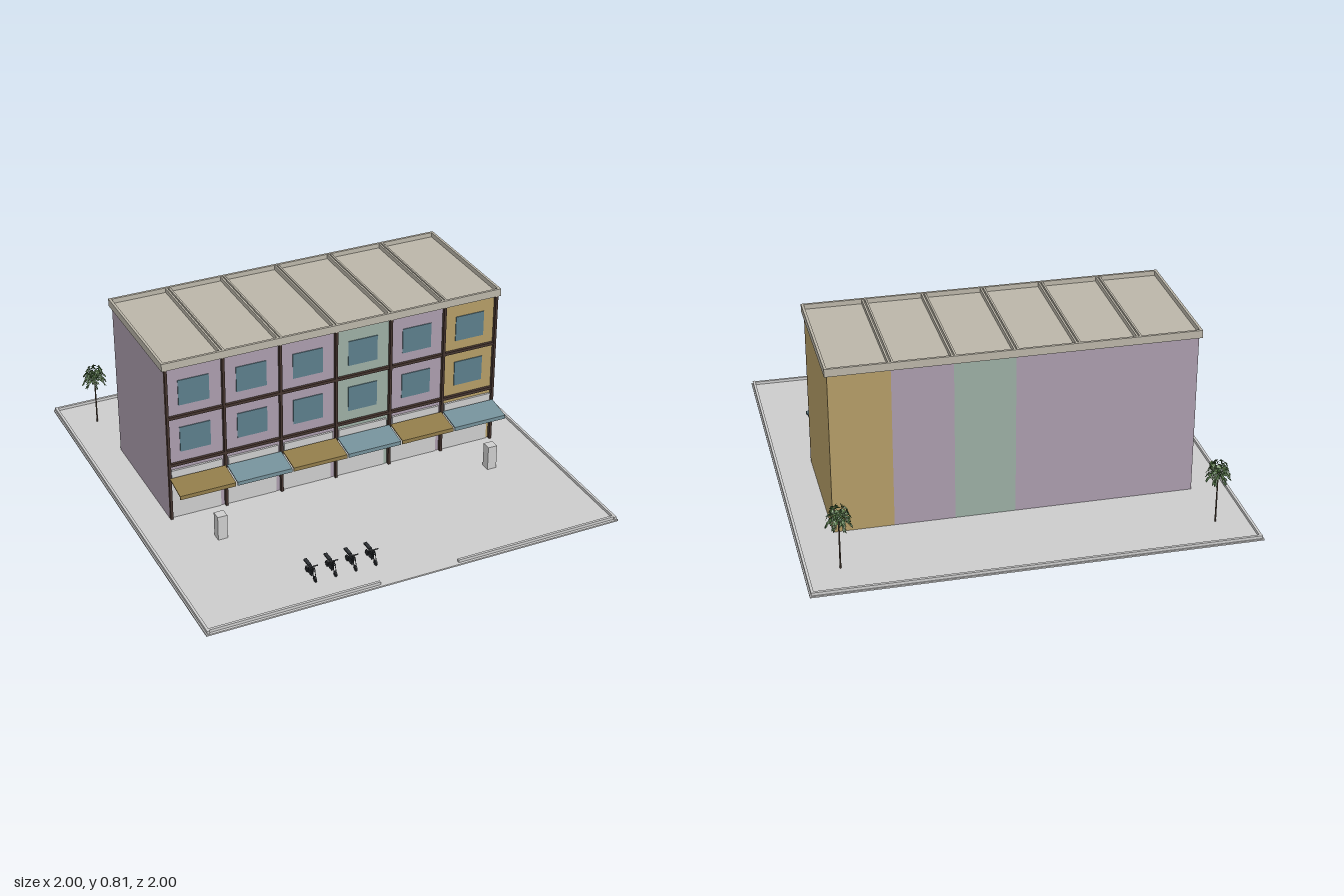
import * as THREE from 'three';
import { mergeGeometries } from 'three/addons/utils/BufferGeometryUtils.js';

const COLORS = {
  grey: 0xcccccc, gold: 0xb39c66, purple: 0xaa9cac, green: 0x9bada3, glass: 0x5b7d8a, teal: 0x738f98,
  ochre: 0x8f7a48, brown: 0x43332d, roof: 0xbab5a8, dark: 0x2c2f33, leaf: 0x3d5c33, leafLight: 0x587a45, bark: 0x54463a,
};
const materials = {};
function mat(name) {
  if (!materials[name]) {
    materials[name] = new THREE.MeshStandardMaterial({ color: COLORS[name] });
    if (name.startsWith('leaf')) materials[name].side = THREE.DoubleSide;
  }
  return materials[name];
}

function add(parent, name, geometry, color) {
  const mesh = new THREE.Mesh(geometry, mat(color));
  mesh.name = name;
  parent.add(mesh);
  return mesh;
}

// Box given by its low and high limits on each axis
function box(parent, name, color, x0, x1, y0, y1, z0, z1) {
  const mesh = add(parent, name, new THREE.BoxGeometry(x1 - x0, y1 - y0, z1 - z0), color);
  mesh.position.set((x0 + x1) / 2, (y0 + y1) / 2, (z0 + z1) / 2);
  return mesh;
}

// Round bar between two points
function rod(parent, name, color, a, b, r0, r1 = r0) {
  const from = new THREE.Vector3(...a), to = new THREE.Vector3(...b);
  const mesh = add(parent, name, new THREE.CylinderGeometry(r1, r0, from.distanceTo(to), 8), color);
  mesh.position.copy(from).lerp(to, 0.5);
  mesh.quaternion.setFromUnitVectors(new THREE.Vector3(0, 1, 0), to.sub(from).normalize());
  return mesh;
}

const GROUND = 0.007, BAY = 0.275, HALF = 0.825, BACK = -0.515, FRONT = 0.13;

function createSite() {
  const site = new THREE.Group();
  site.name = 'site';
  box(site, 'groundSlab', 'grey', -1, 1, 0, GROUND, -1, 1);
  for (const s of [-1, 1]) {
    const x = s * 0.988;
    box(site, 'sideKerb', 'grey', x - 0.006, x + 0.006, GROUND, 0.021, -0.994, 0.994);
    // Front kerb leaves an entrance gap in the middle
    box(site, 'frontKerb', 'grey', s < 0 ? -0.982 : 0.19, s < 0 ? -0.19 : 0.982, GROUND, 0.021, 0.976, 0.988);
    const px = s < 0 ? -0.67 : 0.694;
    box(site, 'pillarBox', 'grey', px - 0.023, px + 0.023, GROUND, 0.127, 0.339, 0.385);
  }
  box(site, 'backKerb', 'grey', -0.982, 0.982, GROUND, 0.021, -0.994, -0.982);
  return site;
}

// Sloping canopy with a short hanging front lip, as an extruded side profile
function awningGeometry(width) {
  const s = new THREE.Shape();
  [[0, 0.22], [0, 0.226], [0.122, 0.204], [0.122, 0.185], [0.118, 0.185], [0.118, 0.199]]
    .forEach(([z, y], i) => (i ? s.lineTo(z, y) : s.moveTo(z, y)));
  return new THREE.ExtrudeGeometry(s, { depth: width, bevelEnabled: false })
    .translate(0, 0, -width / 2).rotateY(-Math.PI / 2);
}

function createBay(index, color) {
  const bay = new THREE.Group();
  bay.name = 'bay' + (index + 1);
  bay.position.x = -HALF + BAY * (index + 0.5);
  const h = BAY / 2;
  box(bay, 'walls', color, -h, h, GROUND, 0.78, BACK, FRONT);
  // Two upper floors, one window each
  for (const y of [0.345, 0.583]) {
    box(bay, 'windowPane', 'glass', -0.073, 0.073, y, y + 0.125, FRONT - 0.004, FRONT + 0.004);
  }
  // Shopfront and sign board
  box(bay, 'shopfront', 'grey', -h + 0.01, h - 0.024, GROUND, 0.215, FRONT - 0.004, FRONT + 0.003);
  box(bay, 'signBoard', 'grey', -0.122, 0.122, 0.215, 0.258, FRONT - 0.004, FRONT + 0.01);
  const awning = add(bay, 'awning', awningGeometry(0.267), index % 2 ? 'teal' : 'ochre');
  awning.position.z = 0.147;
  return bay;
}

function createBuilding() {
  const building = new THREE.Group();
  building.name = 'building';
  ['purple', 'purple', 'purple', 'green', 'purple', 'gold'].forEach((c, i) => building.add(createBay(i, c)));

  // Timber posts and floor beams on the front
  for (let i = 0; i <= 6; i++) {
    const x = THREE.MathUtils.clamp(-HALF + BAY * i, -HALF + 0.006, HALF - 0.006);
    box(building, 'post', 'brown', x - 0.006, x + 0.006, GROUND, 0.776, FRONT, 0.147);
  }
  for (const y of [0.288, 0.529]) {
    box(building, 'floorBeam', 'brown', -HALF, HALF, y - 0.007, y + 0.007, FRONT, 0.144);
  }

  // Roof deck with parapets and paired ribs between the bays
  const X = 0.837, Z0 = -0.527, Z1 = 0.148, T = 0.012;
  const roof = new THREE.Group();
  roof.name = 'roof';
  box(roof, 'roofDeck', 'roof', -X + T, X - T, 0.777, 0.791, Z0 + T, Z1 - T);
  box(roof, 'backParapet', 'roof', -X, X, 0.777, 0.814, Z0, Z0 + T);
  box(roof, 'frontParapet', 'roof', -X, X, 0.777, 0.814, Z1 - T, Z1);
  for (const s of [-1, 1]) {
    const x = s * (X - T / 2);
    box(roof, 'sideParapet', 'roof', x - T / 2, x + T / 2, 0.777, 0.814, Z0 + T, Z1 - T);
  }
  for (let i = 1; i < 6; i++) {
    for (const s of [-1, 1]) {
      const x = -HALF + BAY * i + s * 0.0075;
      box(roof, 'roofRib', 'roof', x - 0.0045, x + 0.0045, 0.791, 0.812, Z0 + T, Z1 - T);
    }
  }
  building.add(roof);
  return building;
}

// Pointed, folded leaf that lies along +x
function leafGeometry(len, width) {
  const g = new THREE.BufferGeometry();
  g.setAttribute('position', new THREE.Float32BufferAttribute([
    0, 0, 0, len * 0.5, -0.003, width / 2, len, -0.004, 0,
    0, 0, 0, len, -0.004, 0, len * 0.5, -0.003, -width / 2,
  ], 3));
  g.computeVertexNormals();
  return g;
}

function createTree(x, seed) {
  const tree = new THREE.Group();
  tree.name = 'tree';
  tree.position.set(x, 0, -0.808);
  rod(tree, 'trunk', 'bark', [0, GROUND, 0], [0, 0.25, 0], 0.004, 0.003);
  const rnd = () => (seed = (seed * 16807) % 2147483647) / 2147483647;
  const leaves = { leaf: [], leafLight: [] };
  // Arching sprays in three tiers, with paired leaves along each
  for (let i = 0; i < 33; i++) {
    const tier = i % 3, yaw = i * 2.39996;
    const reach = [0.055, 0.052, 0.036][tier], rise = [0.008, 0.036, 0.062][tier], droop = [0.042, 0.034, 0.02][tier];
    for (let k = 1; k <= 5; k++) {
      const t = k / 5;
      for (const s of [-1, 1]) {
        leaves[(i + k) % 3 ? 'leaf' : 'leafLight'].push(leafGeometry(0.02 + rnd() * 0.008, 0.009)
          .rotateX((rnd() - 0.5) * 1.4).rotateZ(0.3 - 1.2 * t).rotateY(s * (0.7 - 0.3 * t))
          .translate(t * reach * 0.88, 0.25 + rise * Math.sin(t * 2) - droop * t * t * 0.6 + rnd() * 0.008, 0)
          .rotateY(yaw));
      }
    }
  }
  for (const c in leaves) add(tree, 'foliage', mergeGeometries(leaves[c]), c);
  return tree;
}

function createMotorbike(x) {
  const bike = new THREE.Group();
  bike.name = 'motorbike';
  bike.position.set(x, GROUND, 0.81);
  for (const z of [-0.042, 0.042]) {
    const wheel = add(bike, 'wheel', new THREE.TorusGeometry(0.011, 0.004, 6, 16), 'dark');
    wheel.rotation.y = Math.PI / 2;
    wheel.position.set(0, 0.015, z);
    rod(bike, 'hub', 'dark', [-0.004, 0.015, z], [0.004, 0.015, z], 0.007);
  }
  box(bike, 'engine', 'dark', -0.006, 0.006, 0.015, 0.034, -0.018, 0.014);
  box(bike, 'seat', 'dark', -0.008, 0.008, 0.05, 0.057, -0.062, -0.012);
  box(bike, 'tank', 'dark', -0.007, 0.007, 0.042, 0.055, -0.012, 0.018);
  rod(bike, 'rearFrame', 'dark', [0, 0.015, -0.042], [0, 0.046, -0.005], 0.004);
  rod(bike, 'lowerFrame', 'dark', [0, 0.022, -0.042], [0, 0.025, 0.012], 0.003);
  rod(bike, 'frontFrame', 'dark', [0, 0.025, 0.012], [0, 0.05, 0.024], 0.003);
  for (const s of [-1, 1]) {
    rod(bike, 'fork', 'dark', [s * 0.005, 0.015, 0.042], [s * 0.005, 0.066, 0.022], 0.0017);
  }
  rod(bike, 'handlebar', 'dark', [-0.023, 0.068, 0.02], [0.023, 0.068, 0.02], 0.0028);
  const lamp = add(bike, 'headlamp', new THREE.SphereGeometry(0.006, 10, 8), 'dark');
  lamp.position.set(0, 0.056, 0.033);
  return bike;
}

export function createModel() {
  const model = new THREE.Group();
  model.name = 'shopRow';
  model.add(createSite(), createBuilding(), createTree(-0.84, 11), createTree(0.84, 29));
  for (let i = 0; i < 4; i++) model.add(createMotorbike(-0.437 + i * 0.0965));
  return model;
}
